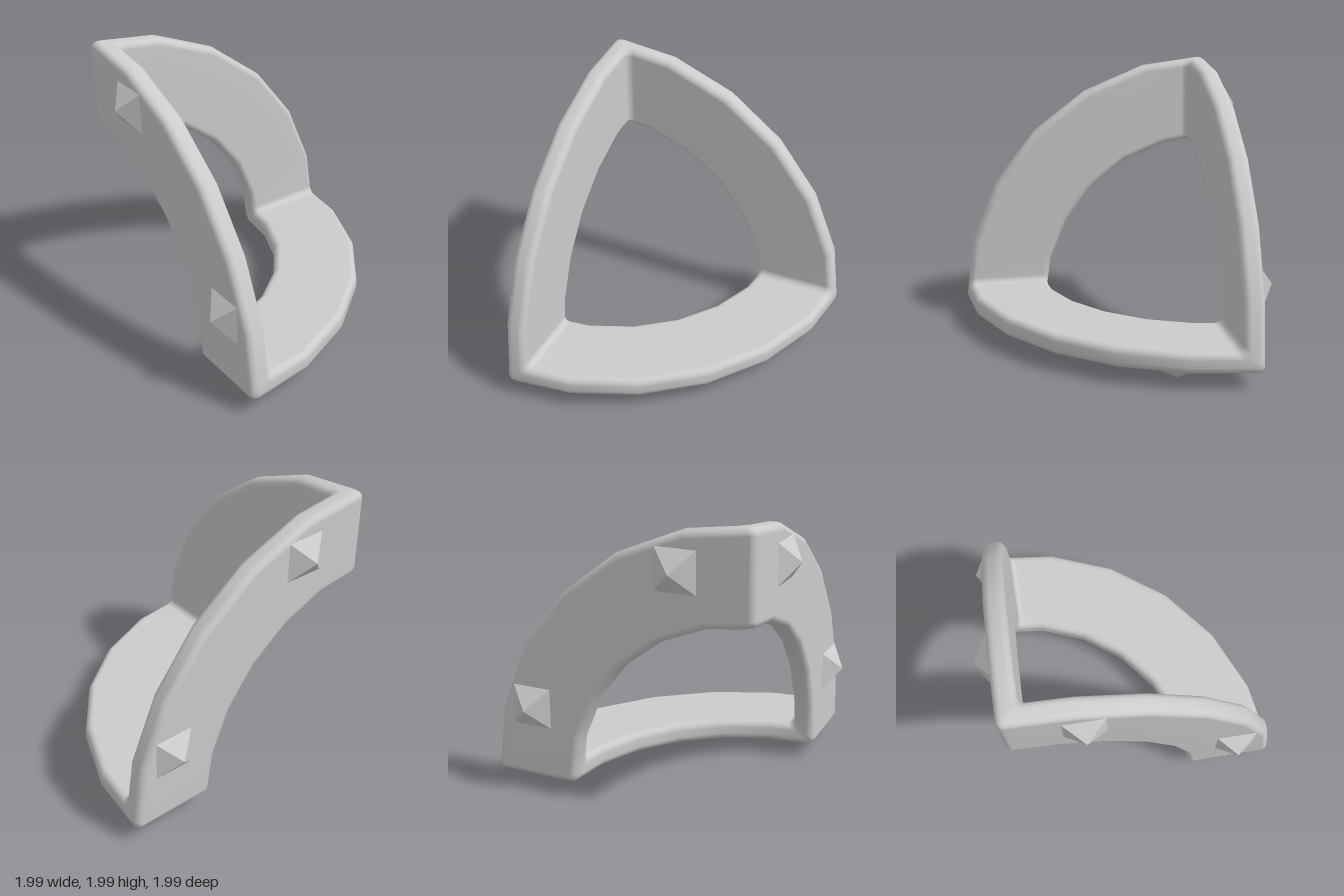
import * as THREE from 'three';

const CORNER = new THREE.Vector3(-0.89, 0.11, -0.89); // where the three plates' planes meet
const R_IN = 1.27, R_OUT = 1.89, THICK = 0.15;
const BEVEL = 0.05, FILLET = 0.05, STEPS = 4;
const AXES = ['x', 'y', 'z'];

// Plate k lies between axes k and k+1; w is the distance along its normal, axis k+2
function place(k, u, v, w) {
  const p = new THREE.Vector3();
  [u, v, w].forEach((value, i) => { p[AXES[(k + i) % 3]] = value; });
  return p.add(CORNER);
}

// Rounded rectangle as [radius, depth] pairs
function section() {
  const pts = [];
  const centres = [
    [R_OUT - BEVEL, THICK - BEVEL], [R_IN + BEVEL, THICK - BEVEL],
    [R_IN + BEVEL, BEVEL], [R_OUT - BEVEL, BEVEL],
  ];
  centres.forEach(([r, n], c) => {
    for (let s = 0; s <= STEPS; s++) {
      const a = (c + s / STEPS) * Math.PI / 2;
      pts.push([r + BEVEL * Math.cos(a), n + BEVEL * Math.sin(a)]);
    }
  });
  return pts;
}

// Closed band: three faceted quarter rings joined by filleted mitres
function bandGeometry() {
  const profile = section();
  const slope = Math.tan(THREE.MathUtils.degToRad(7.5));
  const rings = [];
  for (let k = 0; k < 3; k++) {
    for (let deg = 15; deg <= 75; deg += 15) {
      const t = THREE.MathUtils.degToRad(deg);
      rings.push(profile.map(([r, n]) => place(k, r * Math.cos(t), r * Math.sin(t), n)));
    }
    // turn the corner onto the next plate
    for (let s = 0; s <= STEPS; s++) {
      const a = s / STEPS * Math.PI / 2;
      rings.push(profile.map(([r, n]) => {
        const u = n + FILLET * (1 - Math.sin(a));
        const w = n + FILLET * (1 - Math.cos(a));
        return place(k, u, r - slope * Math.max(u, w), w);
      }));
    }
  }
  const m = profile.length, index = [];
  for (let i = 0; i < rings.length; i++) {
    const next = (i + 1) % rings.length;
    for (let j = 0; j < m; j++) {
      const a = i * m + j, b = next * m + j;
      const c = i * m + (j + 1) % m, d = next * m + (j + 1) % m;
      index.push(a, b, c, b, d, c);
    }
  }
  const geo = new THREE.BufferGeometry().setFromPoints(rings.flat());
  geo.setIndex(index);
  geo.computeVertexNormals();
  return geo;
}

export function createModel() {
  const group = new THREE.Group();
  group.name = 'spikedCornerFrame';

  const band = new THREE.Mesh(bandGeometry(), new THREE.MeshStandardMaterial({ color: 0xcccccc }));
  band.name = 'curvedFrame';
  group.add(band);

  // Two square pyramids on the outer face of each plate
  const height = 0.11;
  const spikeGeo = new THREE.ConeGeometry(0.14 * Math.SQRT2, height, 4);
  spikeGeo.rotateY(Math.PI / 4);
  const spikeMat = new THREE.MeshStandardMaterial({ color: 0xcccccc, flatShading: true });
  const up = new THREE.Vector3(0, 1, 0);
  for (let k = 0; k < 3; k++) {
    const outward = place(k, 0, 0, -1).sub(CORNER);
    for (const [u, v] of [[0.52, 1.58], [1.58, 0.52]]) {
      const spike = new THREE.Mesh(spikeGeo, spikeMat);
      spike.name = 'spike';
      spike.position.copy(place(k, u, v, -height / 2));
      spike.quaternion.setFromUnitVectors(up, outward);
      group.add(spike);
    }
  }
  return group;
}
